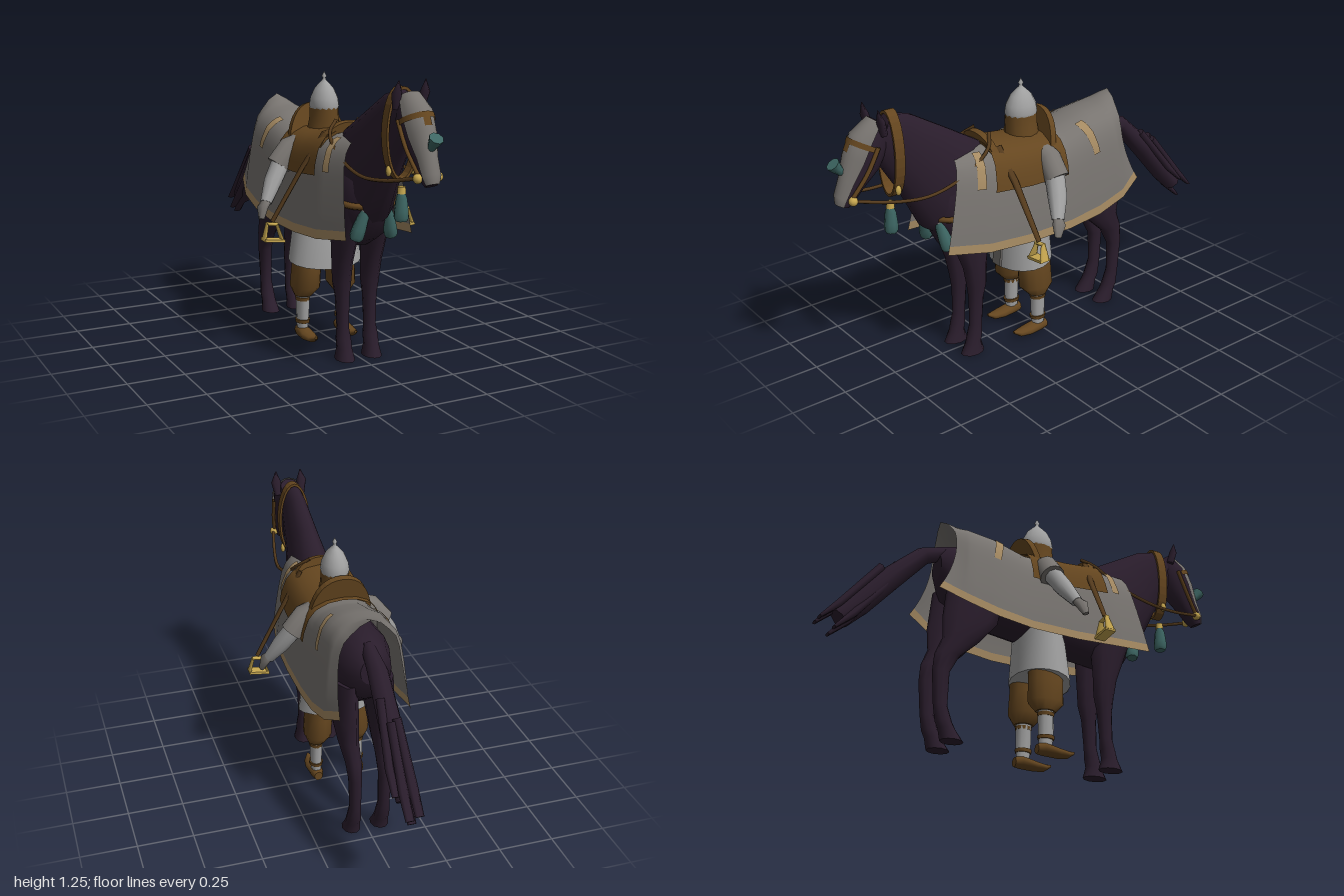
import * as THREE from 'three';

const mat = (name, color, side = THREE.FrontSide) => new THREE.MeshStandardMaterial({ name, color, side });
const V = (x, y, z) => new THREE.Vector3(x, y, z);
const DOWN = V(0, -1, 0), AXIS_X = V(1, 0, 0), AXIS_Z = V(0, 0, 1);

function geometryFrom(pos, idx) {
  const g = new THREE.BufferGeometry();
  g.setAttribute('position', new THREE.Float32BufferAttribute(pos, 3));
  g.setIndex(idx);
  g.computeVertexNormals();
  return g;
}

// Skin elliptical sections [x, y, z, radius along ref, radius across] placed along a path
function loft(sections, { n = 14, ref = AXIS_X, dir = null, arc = null } = {}) {
  const pos = [], idx = [], rings = [];
  const pts = sections.map(s => V(s[0], s[1], s[2]));
  const cols = arc ? n + 1 : n;
  sections.forEach((s, i) => {
    const t = dir ? dir.clone() : pts[Math.min(i + 1, pts.length - 1)].clone().sub(pts[Math.max(i - 1, 0)]).normalize();
    const side = ref.clone().addScaledVector(t, -ref.dot(t)).normalize();
    const up = t.clone().cross(side);
    const ring = [];
    for (let j = 0; j < cols; j++) {
      const a = arc ? arc[0] + (arc[1] - arc[0]) * j / n : j / n * Math.PI * 2;
      const p = pts[i].clone().addScaledVector(side, Math.cos(a) * s[3]).addScaledVector(up, Math.sin(a) * (s[4] ?? s[3]));
      ring.push(p);
      pos.push(p.x, p.y, p.z);
    }
    rings.push(ring);
  });
  for (let i = 0; i < pts.length - 1; i++) for (let j = 0; j < n; j++) {
    const k = (j + 1) % cols, a = i * cols, b = a + cols;
    idx.push(a + j, a + k, b + k, a + j, b + k, b + j);
  }
  if (!arc) [0, pts.length - 1].forEach((i, end) => {
    const base = pos.length / 3;
    [pts[i], ...rings[i]].forEach(p => pos.push(p.x, p.y, p.z));
    for (let j = 0; j < n; j++) {
      const a = base + 1 + j, b = base + 1 + (j + 1) % n;
      idx.push(base, end ? a : b, end ? b : a);
    }
  });
  return geometryFrom(pos, idx);
}

// Horse cloth: stations [zTop, zHem, yTop, yHem, halfWidth] with one shared drape profile
const STATIONS = [
  [0.455, 0.555, 0.985, 0.575, 0.155], [0.30, 0.36, 0.98, 0.545, 0.195], [0.12, 0.15, 0.96, 0.53, 0.2],
  [-0.08, -0.08, 0.955, 0.53, 0.2], [-0.24, -0.25, 1.0, 0.55, 0.2], [-0.36, -0.40, 1.015, 0.59, 0.19],
  [-0.45, -0.515, 1.055, 0.645, 0.155]];
const OUT = [0, 0.3, 0.55, 0.72, 0.83, 0.9, 0.96, 0.985, 1];
const DROP = [0, 0.015, 0.07, 0.16, 0.3, 0.5, 0.75, 0.91, 1];
const sample = (arr, t) => {
  const i = Math.min(Math.floor(t), arr.length - 2);
  return THREE.MathUtils.lerp(arr[i], arr[i + 1], t - i);
};
function drape(u, s, off) {
  const [zt, zh, yt, yh, w] = STATIONS[0].map((_, k) => sample(STATIONS.map(r => r[k]), u));
  const v = Math.abs(s) * 8, rear = Math.max(0, u - 5), base = sample(DROP, v);
  const d = base + 0.1 * (1 - base) * Math.min(1, v / 2) * rear; // raised point over the tail
  const pinch = 0.2 * d * (1 - d) * rear;
  return [Math.sign(s) * (w * sample(OUT, v) + off * Math.min(1, v / 2)),
    yt + (yh - yt) * d + off * (1 - d), zt + (zh - zt) * d + pinch];
}
function drapePatch(u0, u1, s0, s1, nu, ns, off = 0, slant = 0) {
  const pos = [], idx = [];
  for (let i = 0; i <= nu; i++) for (let j = 0; j <= ns; j++) {
    const s = s0 + (s1 - s0) * j / ns;
    pos.push(...drape(u0 + (u1 - u0) * i / nu + slant * Math.abs(s), s, off));
    if (i < nu && j < ns) {
      const a = i * (ns + 1) + j, b = a + ns + 1;
      idx.push(a, a + 1, b + 1, a, b + 1, b);
    }
  }
  return geometryFrom(pos, idx);
}

export function createModel() {
  const root = new THREE.Group();
  const hide = mat('dark hide', 0x2a1d2c), cloth = mat('grey cloth', 0x787470, THREE.DoubleSide);
  const trim = mat('tan trim', 0xa58a62, THREE.DoubleSide), leather = mat('brown leather', 0x65461f, THREE.DoubleSide);
  const strap = mat('dark strap leather', 0x543a1c);
  const steel = mat('pale steel', 0xa0a0a0), teal = mat('teal tassel', 0x3d6663), gold = mat('gold', 0xc8a850);
  const add = (name, geo, m, parent = root) => {
    const mesh = new THREE.Mesh(geo, m);
    mesh.name = name;
    parent.add(mesh);
    return mesh;
  };
  const group = name => { const g = new THREE.Group(); g.name = name; root.add(g); return g; };
  const tube = (pts, r) => new THREE.TubeGeometry(new THREE.CatmullRomCurve3(pts.map(p => V(...p))), 28, r, 6);

  // Horse body, neck and head
  const horse = group('horse');
  add('barrel', loft([[0, 0.82, -0.46, 0.05, 0.06], [0, 0.8, -0.42, 0.1, 0.13], [0, 0.77, -0.3, 0.14, 0.185],
    [0, 0.74, 0, 0.145, 0.19], [0, 0.735, 0.25, 0.14, 0.215], [0, 0.725, 0.41, 0.125, 0.22],
    [0, 0.725, 0.495, 0.108, 0.175], [0, 0.73, 0.545, 0.05, 0.09]], { n: 18, dir: AXIS_Z }), hide, horse);
  add('neck', loft([[0, 0.75, 0.34, 0.1, 0.21], [0, 0.82, 0.43, 0.105, 0.225], [0, 0.97, 0.57, 0.075, 0.165],
    [0, 1.08, 0.69, 0.058, 0.125], [0, 1.13, 0.77, 0.05, 0.09]]), hide, horse);
  const head = [[0, 1.18, 0.765, 0.045, 0.045], [0, 1.11, 0.81, 0.066, 0.085], [0, 1.03, 0.85, 0.06, 0.085],
    [0, 0.95, 0.90, 0.042, 0.058], [0, 0.89, 0.938, 0.038, 0.042], [0, 0.862, 0.95, 0.026, 0.026]];
  add('head', loft(head), hide, horse);
  add('tailRoot', loft([[0, 0.91, -0.4, 0.03, 0.03], [0, 0.86, -0.53, 0.045, 0.04], [0, 0.71, -0.68, 0.05, 0.052],
    [0, 0.56, -0.81, 0.05, 0.052], [0, 0.47, -0.895, 0.045, 0.045]], { n: 8 }), hide, horse);
  // Loose flat tail strands with blunt, uneven ends
  [[-0.036, 0.41, -0.925], [-0.008, 0.385, -0.94], [0.02, 0.44, -0.99], [-0.022, 0.45, -0.985], [0.045, 0.5, -0.9]].forEach(([x, y, z]) =>
    add('tailStrand', loft([[x * 0.6, y + 0.3, z + 0.26, 0.02, 0.02], [x, y + 0.08, z + 0.08, 0.022, 0.018],
      [x, y, z, 0.019, 0.007]], { n: 6 }), hide, horse));

  for (const s of [-1, 1]) {
    add('foreleg', loft([[s * 0.07, 0.7, 0.41, 0.055, 0.11], [s * 0.07, 0.55, 0.38, 0.05, 0.085],
      [s * 0.07, 0.43, 0.36, 0.042, 0.058], [s * 0.068, 0.34, 0.352, 0.039, 0.048], [s * 0.066, 0.27, 0.355, 0.03, 0.036],
      [s * 0.066, 0.14, 0.36, 0.026, 0.031], [s * 0.066, 0.09, 0.367, 0.033, 0.036], [s * 0.066, 0.05, 0.375, 0.033, 0.038],
      [s * 0.066, 0, 0.38, 0.041, 0.058]], { n: 10, dir: DOWN }), hide, horse);
    add('hindLeg', loft([[s * 0.08, 0.74, -0.3, 0.055, 0.14], [s * 0.08, 0.56, -0.33, 0.055, 0.13],
      [s * 0.076, 0.46, -0.37, 0.045, 0.084], [s * 0.07, 0.38, -0.43, 0.036, 0.056], [s * 0.068, 0.3, -0.455, 0.03, 0.038],
      [s * 0.066, 0.15, -0.452, 0.026, 0.031], [s * 0.066, 0.08, -0.435, 0.033, 0.037], [s * 0.066, 0.05, -0.42, 0.033, 0.038],
      [s * 0.066, 0, -0.396, 0.041, 0.052]], { n: 10, dir: DOWN }), hide, horse);
    add('ear', loft([[s * 0.055, 1.14, 0.775, 0.018, 0.016], [s * 0.063, 1.2, 0.79, 0.024, 0.016],
      [s * 0.06, 1.25, 0.8, 0.002, 0.002]], { n: 6 }), hide, horse);
  }

  // Head armour, bridle and plume
  const tack = group('bridle');
  add('facePlate', loft(head.map(([x, y, z, a, b]) => [x, y, z, a + 0.006, b + 0.007]),
    { n: 10, arc: [0.1 * Math.PI, 0.9 * Math.PI] }), cloth, tack);
  add('browBand', loft([[0, 1.1, 0.815, 0.074, 0.096], [0, 1.08, 0.825, 0.074, 0.096]],
    { n: 16, arc: [0.1, Math.PI - 0.1] }), leather, tack);
  add('browDrop', loft([[0, 1.09, 0.82, 0.074, 0.096], [0, 1.05, 0.84, 0.074, 0.095]],
    { n: 4, arc: [0.43 * Math.PI, 0.57 * Math.PI] }), leather, tack);
  const ring = new THREE.Shape().absellipse(0, 1.03, 0.074, 0.188, 0, Math.PI * 2);
  ring.holes.push(new THREE.Path().absellipse(0, 1.03, 0.064, 0.176, 0, Math.PI * 2));
  add('throatStrap', new THREE.ExtrudeGeometry(ring, { depth: 0.045, bevelEnabled: false, curveSegments: 14 }), leather, tack)
    .position.z = 0.692;
  add('plume', loft([[0, 0.985, 0.925, 0.008], [0, 1.03, 0.965, 0.024], [0, 1.05, 0.98, 0.03]], { n: 8 }), teal, tack);
  for (const s of [-1, 1]) {
    add('cheekStrap', tube([[s * 0.07, 1.1, 0.81], [s * 0.062, 1, 0.86], [s * 0.043, 0.9, 0.925]], 0.009), leather, tack);
    add('bitBoss', new THREE.SphereGeometry(0.02, 10, 8), gold, tack).position.set(s * 0.045, 0.89, 0.925);
    add('rein', tube([[s * 0.05, 0.89, 0.92], [s * 0.09, 0.855, 0.75], [s * 0.115, 0.85, 0.6], [s * 0.115, 0.9, 0.42],
      [s * 0.1, 0.98, 0.3], [s * 0.05, 1.025, 0.26]], 0.008), strap, tack);
    add('strapStud', new THREE.SphereGeometry(0.014, 8, 6).scale(0.8, 1.6, 1), gold, tack).position.set(s * 0.055, 0.885, 0.72);
  }

  // Breast strap and hanging tassels
  const tassel = (x0, y0, x1, y1, z0, z1, cap) => {
    const at = (t, r) => [x0 + (x1 - x0) * t, y0 + (y1 - y0) * t, z0 + (z1 - z0) * t, r];
    add('tasselCap', loft([at(0, 0.016), at(0.2, 0.019)], { n: 8 }), cap, tack);
    add('tassel', loft([at(0.16, 0.014), at(0.34, 0.024), at(0.7, 0.03), at(0.9, 0.031), at(1, 0.024)], { n: 8 }), teal, tack);
  };
  tassel(0, 0.82, 0, 0.68, 0.73, 0.73, gold);
  for (const s of [-1, 1]) tassel(s * 0.045, 0.715, s * 0.085, 0.56, 0.535, 0.505, cloth);
  add('breastStrap', tube([[-0.125, 0.71, 0.43], [-0.1, 0.705, 0.51], [0, 0.7, 0.542], [0.1, 0.705, 0.51], [0.125, 0.71, 0.43]],
    0.014), leather, tack);

  // Draped cloth with hem and slanted stripes
  const cover = group('horseCloth');
  add('drape', drapePatch(0, 6, -0.875, 0.875, 24, 28), cloth, cover);
  for (const s of [-1, 1]) {
    add('hem', drapePatch(0, 6, s < 0 ? -1 : 0.875, s < 0 ? -0.875 : 1, 24, 2), trim, cover);
    for (const [u, slant] of [[0.55, 0], [3.48, 0.8]])
      add('stripe', drapePatch(u, u + 0.24, s < 0 ? -0.54 : 0.19, s < 0 ? -0.19 : 0.54, 2, 8, 0.005, slant), trim, cover);
  }

  // Saddle with raised front and back
  const saddle = group('saddle');
  add('seatAndFlaps', drapePatch(1.03, 2.97, -0.57, 0.57, 8, 18, 0.012), leather, saddle);
  const arch = (name, w, h, z, tilt) => {
    const shape = new THREE.Shape().moveTo(-w, 0).quadraticCurveTo(-w * 0.8, h, 0, h)
      .quadraticCurveTo(w * 0.8, h, w, 0).lineTo(-w, 0);
    const m = add(name, new THREE.ExtrudeGeometry(shape, { depth: 0.03, bevelEnabled: false, curveSegments: 8 }), leather, saddle);
    m.position.set(0, 0.9, z);
    m.rotation.x = tilt;
  };
  arch('pommel', 0.14, 0.125, 0.25, 0.15);
  arch('cantle', 0.14, 0.165, -0.035, -0.2);
  for (const s of [-1, 1]) {
    add('stirrupStrap', loft([[s * 0.1, 0.975, 0.25, 0.018, 0.008], [s * 0.19, 0.83, 0.225, 0.018, 0.008],
      [s * 0.325, 0.6, 0.205, 0.013, 0.008]], { n: 6, ref: AXIS_Z }), strap, saddle);
    // Stirrup: crossbar, flaring side arms and a foot tread
    add('stirrupBar', loft([[s * 0.298, 0.585, 0.2, 0.012, 0.008], [s * 0.35, 0.592, 0.2, 0.012, 0.008]],
      { n: 6, ref: AXIS_Z }), gold, saddle);
    for (const [xt, yt, xb, yb] of [[0.303, 0.587, 0.28, 0.515], [0.346, 0.592, 0.363, 0.525]])
      add('stirrupArm', loft([[s * xt, yt, 0.2, 0.012, 0.006], [s * xb, yb, 0.205, 0.026, 0.006]],
        { n: 6, ref: AXIS_Z }), gold, saddle);
    const tread = add('stirrupTread', new THREE.BoxGeometry(0.092, 0.012, 0.05), gold, saddle);
    tread.position.set(s * 0.321, 0.519, 0.205);
    tread.rotation.z = s * 0.12;
  }

  // Rider: head, coat and arms
  const rider = group('rider');
  const helmet = add('helmet', new THREE.LatheGeometry([[0.072, 1.045], [0.077, 1.06], [0.071, 1.095], [0.05, 1.135],
    [0.024, 1.16], [0.01, 1.172], [0.008, 1.182], [0.013, 1.188], [0, 1.21]].map(p => new THREE.Vector2(...p)), 16), steel, rider);
  helmet.scale.x = 0.82;
  helmet.position.z = 0.05;
  add('neckGuard', loft([[0, 1.06, 0.05, 0.06, 0.074], [0, 1.0, 0.05, 0.063, 0.077], [0, 0.92, 0.045, 0.08, 0.08]],
    { dir: DOWN }), leather, rider);
  add('torso', loft([[0, 0.95, 0.03, 0.07, 0.05], [0, 0.91, 0.03, 0.125, 0.075], [0, 0.7, 0.03, 0.12, 0.085]],
    { dir: DOWN }), cloth, rider);
  add('skirt', loft([[0, 0.72, 0.03, 0.125, 0.09], [0, 0.55, 0.055, 0.145, 0.115], [0, 0.367, 0.058, 0.172, 0.128]],
    { n: 18, dir: V(0, -1, -0.17).normalize() }), steel, rider);
  const slit = add('skirtSlit', new THREE.BoxGeometry(0.055, 0.16, 0.009), cloth, rider);
  slit.position.set(0, 0.432, 0.183);
  slit.rotation.x = -0.07;

  for (const s of [-1, 1]) {
    add('sleeve', loft([[s * 0.08, 0.895, 0.015, 0.05], [s * 0.15, 0.872, 0.012, 0.055], [s * 0.205, 0.8, 0.012, 0.056, 0.058]],
      { ref: AXIS_Z }), cloth, rider);
    add('forearm', loft([[s * 0.2, 0.81, 0.02, 0.045, 0.042], [s * 0.25, 0.735, 0.045, 0.044, 0.039],
      [s * 0.298, 0.655, 0.08, 0.029, 0.025]], { n: 10, ref: AXIS_Z }), steel, rider);
    add('hand', loft([[s * 0.297, 0.66, 0.08, 0.024, 0.02], [s * 0.318, 0.638, 0.09, 0.034, 0.021],
      [s * 0.33, 0.59, 0.105, 0.016, 0.012]], { n: 8, ref: AXIS_Z }), cloth, rider);

    // Baggy trousers, bound shins and boots
    add('trouserLeg', loft([[s * 0.08, 0.46, 0.04, 0.06, 0.08], [s * 0.085, 0.34, 0.042, 0.063, 0.083],
      [s * 0.09, 0.245, 0.038, 0.065, 0.083], [s * 0.098, 0.2, 0.033, 0.038, 0.045]], { dir: DOWN }), leather, rider);
    add('shin', loft([[s * 0.098, 0.21, 0.033, 0.031, 0.037], [s * 0.1, 0.12, 0.033, 0.028, 0.036],
      [s * 0.1, 0.03, 0.03, 0.023, 0.03]], { n: 10, dir: DOWN }), steel, rider);
    for (const y of [0.185, 0.08])
      add('shinBinding', new THREE.CylinderGeometry(0.033, 0.031, 0.016, 10).scale(1, 1, 1.22), leather, rider)
        .position.set(s * 0.1, y, 0.033);
    add('boot', loft([[s * 0.1, 0.025, -0.012, 0.02, 0.022], [s * 0.1, 0.03, 0.02, 0.031, 0.03], [s * 0.1, 0.022, 0.09, 0.035, 0.022],
      [s * 0.1, 0.022, 0.14, 0.026, 0.016], [s * 0.1, 0.035, 0.172, 0.006, 0.006]], { n: 10, dir: AXIS_Z }), leather, rider);
  }
  return root;
}
